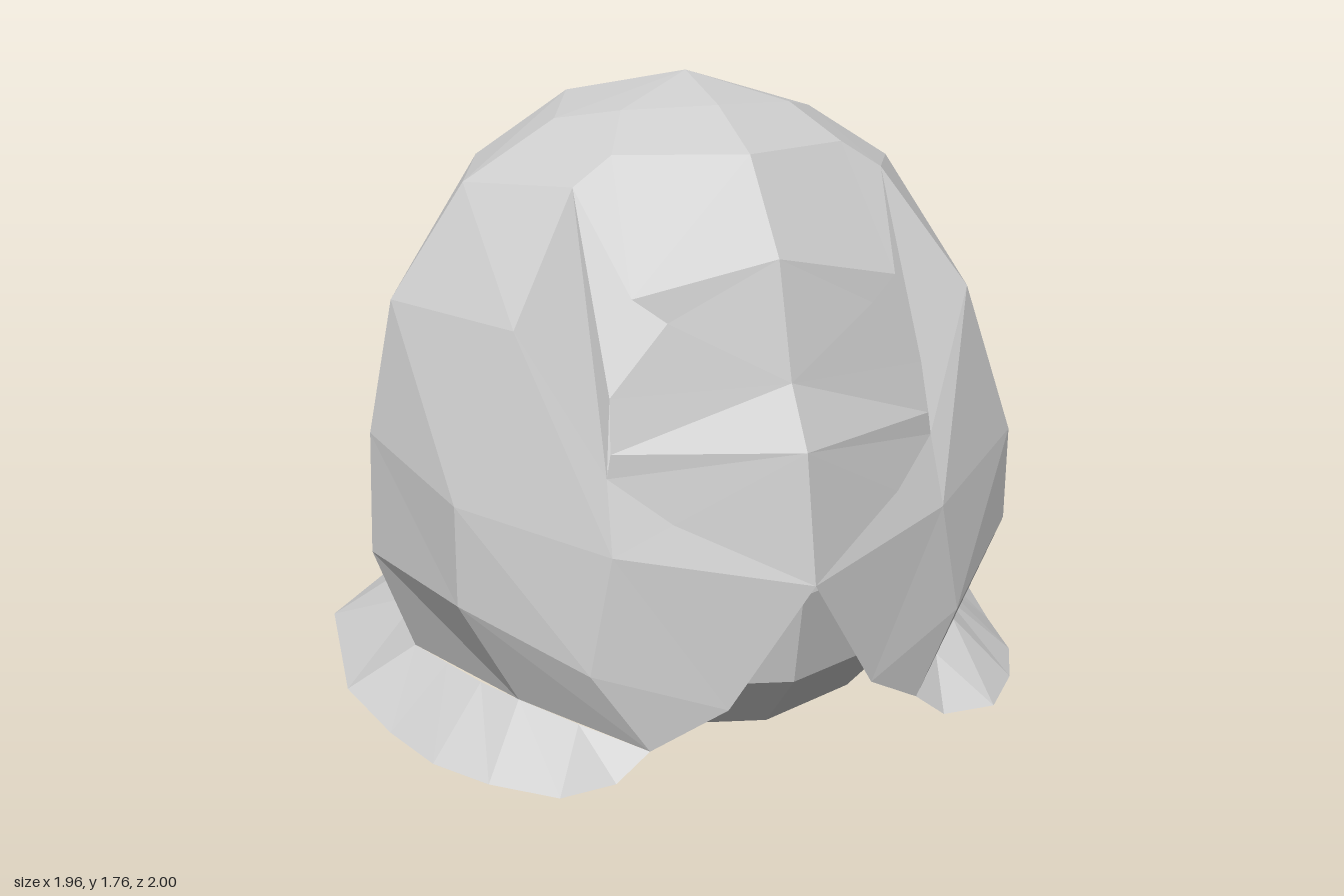
import * as THREE from 'three';

const material = new THREE.MeshStandardMaterial({ color: 0xcccccc, flatShading: true, side: THREE.DoubleSide });

// Mesh from polygons on the +x half, mirrored to the -x half
function mirroredMesh(name, polygons) {
  const pos = [];
  for (const poly of polygons) {
    for (let i = 1; i < poly.length - 1; i++) {
      const tri = [poly[0], poly[i], poly[i + 1]];
      for (const p of tri) pos.push(...p);
      for (const [x, y, z] of tri.reverse()) pos.push(-x, y, z);
    }
  }
  const geometry = new THREE.BufferGeometry();
  geometry.setAttribute('position', new THREE.Float32BufferAttribute(pos, 3));
  geometry.computeVertexNormals();
  const mesh = new THREE.Mesh(geometry, material);
  mesh.name = name;
  return mesh;
}

// Quads between neighbouring columns of points
function strips(columns) {
  const faces = [];
  for (let c = 0; c < columns.length - 1; c++) {
    const a = columns[c], b = columns[c + 1];
    for (let i = 0; i < a.length - 1; i++) {
      if (a[i] === b[i]) faces.push([a[i], b[i + 1], a[i + 1]]);
      else faces.push([a[i], b[i], b[i + 1]], [a[i], b[i + 1], a[i + 1]]);
    }
  }
  return faces;
}

export function createModel() {
  const group = new THREE.Group();
  group.name = 'hoodedHead';

  // Hood dome: columns from crown to hem, going from the back to the temple
  const crown = [0, 1.76, 0.2];
  const back = [crown, [0, 1.69, -0.13], [0, 1.5, -0.43], [0, 1.21, -0.62], [0, 0.87, -0.77], [0, 0.53, -0.73], [0, 0.26, -0.64]];
  const backCorner = [crown, [0.24, 1.69, -0.07], [0.45, 1.5, -0.25], [0.59, 1.21, -0.38], [0.65, 0.87, -0.49], [0.66, 0.53, -0.51], [0.58, 0.25, -0.41]];
  const side = [crown, [0.37, 1.65, 0.2], [0.62, 1.5, 0.2], [0.82, 1.21, 0.2], [0.89, 0.86, 0.2], [0.9, 0.53, 0.2], [0.8, 0.25, 0.22]];
  const temple = [crown, [0.24, 1.68, 0.34], [0.43, 1.52, 0.5], [0.63, 1.21, 0.63], [0.79, 0.79, 0.63], [0.79, 0.53, 0.63], [0.64, 0.25, 0.63]];
  group.add(mirroredMesh('hoodDome', strips([back, backCorner, side, temple])));

  // Forehead and the recessed brow beside it
  const mid = [[0, 1.69, 0.41], [0, 1.59, 0.6], [0, 1.36, 0.77], [0, 1.07, 0.85]];
  const browTop = [0.32, 1.59, 0.48], browSide = [0.36, 1.28, 0.71];
  const lobe = [0.28, 1.22, 0.74], lobeSide = [0.43, 1.05, 0.74], corner = [0.45, 0.86, 0.77];
  group.add(mirroredMesh('forehead', [
    [crown, mid[0], temple[1]],
    [mid[0], mid[1], browTop, temple[1]],
    [temple[1], browTop, temple[2]],
    [mid[1], mid[2], browSide, browTop],
    [browTop, browSide, temple[2]],
    [mid[2], mid[3], lobe, browSide],
    [temple[2], browSide, lobe, lobeSide],
    [temple[2], lobeSide, corner, temple[3]],
  ]));

  // Heart-shaped muzzle with a ridge across it
  const ridge = [0, 0.92, 0.94], tip = [0, 0.6, 1.0];
  const ridgeSide = [0.44, 0.92, 0.77], lowRim = [0.31, 0.75, 0.85];
  group.add(mirroredMesh('muzzle', [
    [mid[3], ridge, ridgeSide, lobeSide, lobe],
    [ridge, tip, lowRim, corner, ridgeSide],
  ]));

  // Cheeks meeting at the front point, open below it
  const cheek = [0.46, 0.68, 0.83], jaw = [0.52, 0.38, 0.83];
  const chinEdge = [0.2, 0.28, 0.94], hemFront = [0.38, 0.17, 0.87];
  group.add(mirroredMesh('cheeks', [
    [temple[3], cheek, temple[4]],
    [temple[3], corner, cheek],
    [corner, lowRim, cheek],
    [lowRim, tip, cheek],
    [cheek, tip, chinEdge, jaw],
    [temple[4], cheek, jaw, temple[5]],
    [temple[5], jaw, hemFront, temple[6]],
    [jaw, chinEdge, hemFront],
  ]));

  // Flared collar around the hem, with a tail at the back
  const inner = [back[6], [0.24, 0.25, -0.56], [0.45, 0.25, -0.46], backCorner[6], [0.7, 0.25, -0.1], side[6],
    [0.75, 0.25, 0.36], [0.7, 0.25, 0.5], temple[6], [0.52, 0.21, 0.74], hemFront];
  const outer = [[0, 0.1, -1], [0.28, 0.12, -0.92], [0.45, 0.14, -0.61], [0.64, 0.13, -0.64], [0.91, 0.13, -0.33], [0.98, 0.13, 0.17],
    [0.92, 0.1, 0.4], [0.86, 0.1, 0.6], [0.76, 0.1, 0.75], [0.62, 0.1, 0.88], [0.47, 0.1, 0.87]];
  group.add(mirroredMesh('collar', strips(inner.map((p, i) => [p, outer[i]]))));

  // Rounded head inside the hood
  const profile = [[0, 0], [0.26, 0.03], [0.5, 0.12], [0.65, 0.3], [0.69, 0.55], [0.62, 0.85], [0.45, 1.15], [0.25, 1.35], [0, 1.4]];
  const head = new THREE.Mesh(
    new THREE.LatheGeometry(profile.map(([r, y]) => new THREE.Vector2(r, y)), 10), material);
  head.name = 'innerHead';
  head.position.z = 0.25;
  group.add(head);

  return group;
}
